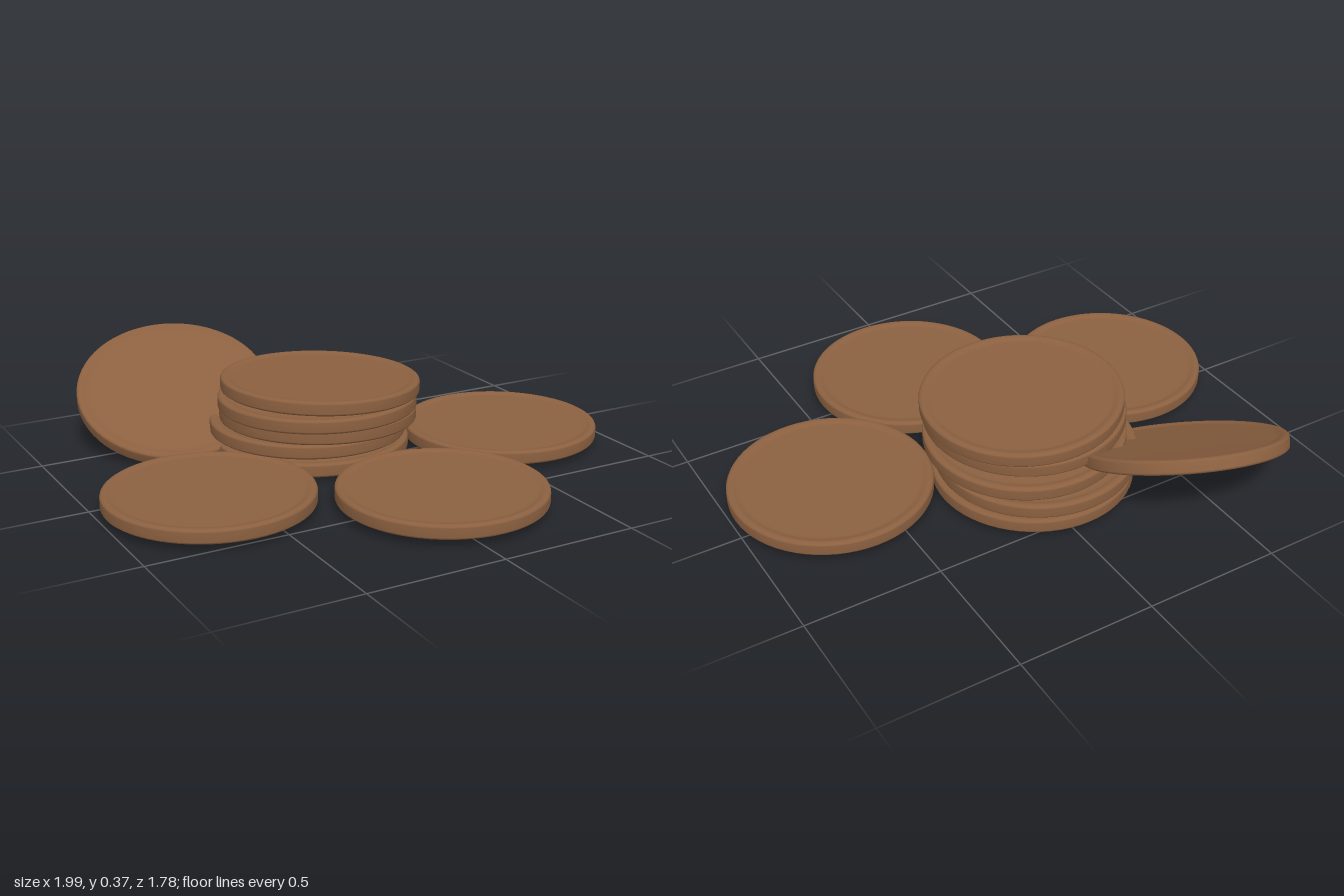
import * as THREE from 'three';

const RADIUS = 0.366;

// Round coin with a bevelled raised rim and a shallow recess on both faces
function coinGeometry() {
  const upper = [
    [RADIUS, 0.016], [0.364, 0.021], [0.358, 0.025], [0.35, 0.026], [0.342, 0.025],
    [0.334, 0.0215], [0.326, 0.0195], [0.316, 0.019], [0, 0.019],
  ];
  const lower = upper.map(([r, y]) => [r, -y]).reverse();
  const profile = [...lower, ...upper].map(([r, y]) => new THREE.Vector2(r, y));
  return new THREE.LatheGeometry(profile, 64);
}

export function createModel() {
  const model = new THREE.Group();
  model.name = 'coinPile';
  const bronze = new THREE.MeshStandardMaterial({ color: 0x8b6040 });
  bronze.name = 'bronze';
  const geometry = coinGeometry();
  const up = new THREE.Vector3(0, 1, 0);

  // Place one coin at a centre, with its upper face along a normal
  function addCoin(parent, name, centre, normal = [0, 1, 0]) {
    const coin = new THREE.Mesh(geometry, bronze);
    coin.name = name;
    coin.position.set(...centre);
    coin.quaternion.setFromUnitVectors(up, new THREE.Vector3(...normal).normalize());
    parent.add(coin);
  }

  // Uneven stack, bottom to top
  const stack = new THREE.Group();
  stack.name = 'coinStack';
  model.add(stack);
  [
    [[-0.05, 0.045, -0.2], [0, 1, 0]],
    [[-0.062, 0.11, -0.202], [0.01, 1, -0.01]],
    [[-0.042, 0.168, -0.157], [0.018, 1, -0.025]],
    [[-0.065, 0.229, -0.118], [0.004, 1, -0.014]],
    [[-0.05, 0.286, -0.123], [0.034, 1, -0.015]],
  ].forEach(([centre, normal], i) => addCoin(stack, `stackCoin${i + 1}`, centre, normal));

  // Loose coins lying flat around the stack
  addCoin(model, 'flatCoinRight', [-0.632, 0.054, 0.17]);
  addCoin(model, 'flatCoinLeft', [0.629, 0.054, 0.06]);
  addCoin(model, 'flatCoinFront', [0.072, 0.054, 0.523]);

  // Coin leaning at the back
  addCoin(model, 'leaningCoin', [-0.45, 0.19, -0.556], [-0.15, 0.89, 0.43]);

  return model;
}
